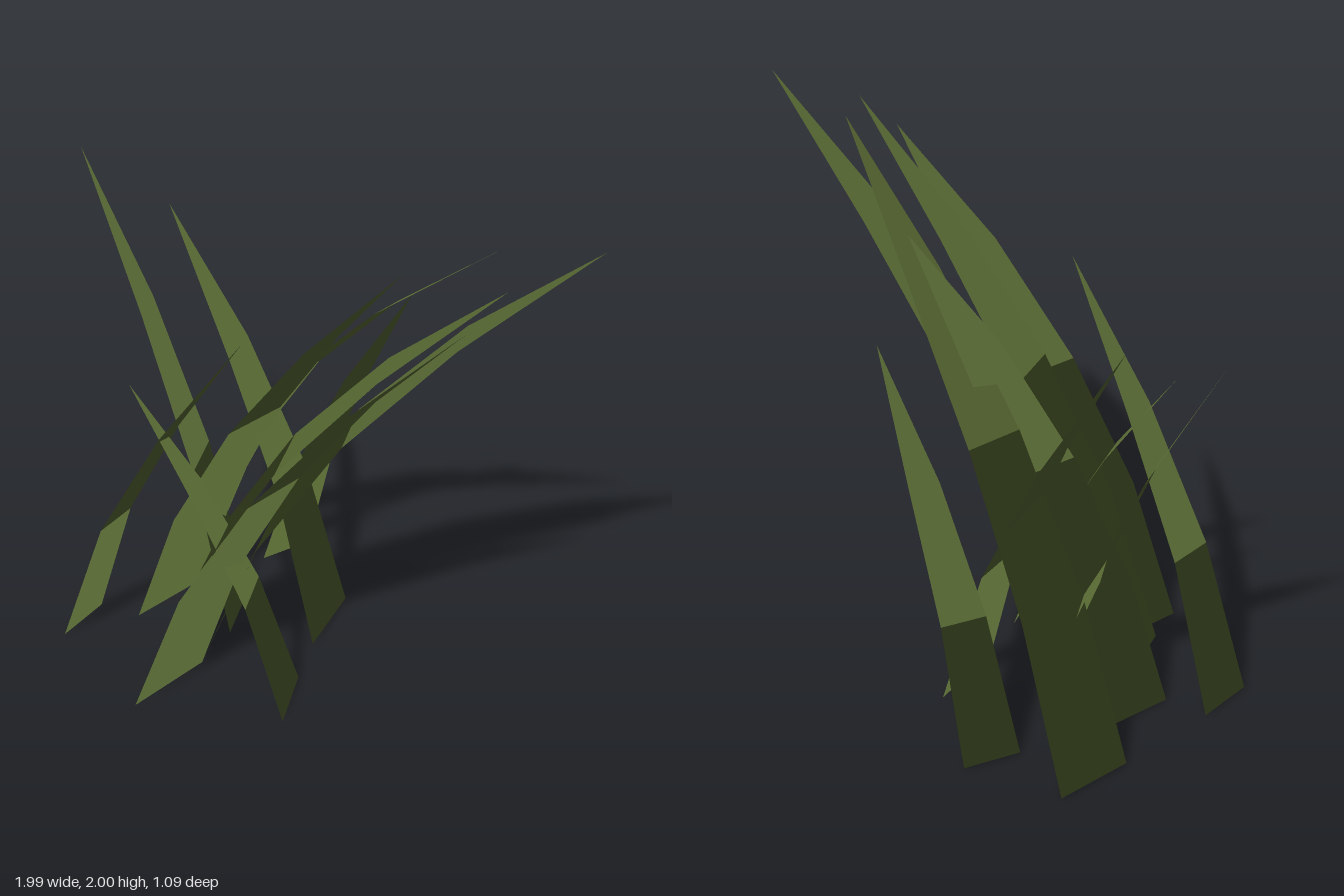
import * as THREE from 'three';

// Blade levels from root to tip: [height, lean, width] as fractions
const TALL = [[0, 0, 1], [0.3, 0.17, 0.9], [0.56, 0.4, 0.73], [0.79, 0.68, 0.48], [1, 1, 0]];
const SHORT = [[0, 0, 1], [0.37, 0.25, 0.78], [0.69, 0.59, 0.52], [1, 1, 0]];

// A tapering strip from a root edge (two x, z corners on the ground) to a tip (x, y, z)
function bladeGeometry([ax, az], [bx, bz], [tx, ty, tz], levels) {
  const cx = (ax + bx) / 2, cz = (az + bz) / 2;
  const up = new THREE.Vector3(tx - cx, ty, tz - cz).normalize();
  const position = [], normal = [], index = [];
  levels.forEach(([h, lean, width], i) => {
    for (const side of [-0.5, 0.5]) {
      position.push(
        cx + (tx - cx) * lean + (bx - ax) * width * side,
        ty * h,
        cz + (tz - cz) * lean + (bz - az) * width * side
      );
      normal.push(up.x, up.y, up.z); // foliage normals follow the blade
    }
    if (i === 0) return;
    const a = 2 * i - 2, b = a + 1, c = a + 2, d = a + 3;
    index.push(a, b, c);
    if (width > 0) index.push(b, d, c);
  });
  const geometry = new THREE.BufferGeometry();
  geometry.setAttribute('position', new THREE.Float32BufferAttribute(position, 3));
  geometry.setAttribute('normal', new THREE.Float32BufferAttribute(normal, 3));
  geometry.setIndex(index);
  return geometry;
}

export function createModel() {
  const group = new THREE.Group();
  group.name = 'grassClump';
  const material = new THREE.MeshStandardMaterial({ color: 0x586a33, side: THREE.DoubleSide });

  // root corner, root corner, tip; corners ordered so the upper side is the front
  const tallBlades = [
    [[-0.315, -0.03], [-0.125, 0.23], [0.99, 2.0, -0.47]],
    [[-0.74, -0.32], [-0.7, -0.04], [0.69, 1.92, -0.34]],
    [[-0.36, 0.15], [-0.17, 0.415], [0.86, 1.9, -0.21]],
    [[-0.13, 0.22], [-0.09, 0.545], [0.82, 1.78, -0.09]],
    [[-0.52, -0.08], [-0.49, 0.255], [0.28, 1.65, -0.32]],
  ];
  const shortBlades = [
    [[-0.2, 0.04], [-0.36, -0.17], [-1.0, 1.71, 0.07]],
    [[0.04, -0.165], [-0.09, -0.43], [-0.64, 1.6, -0.05]],
    [[-0.63, 0.33], [-0.57, 0.535], [0.12, 1.51, 0.21]],
    [[-0.45, -0.535], [-0.475, -0.33], [0.085, 1.4, -0.54]],
    [[0.3, 0.18], [0.15, -0.01], [-0.3, 1.2, 0.37]],
  ];

  const addBlades = (blades, levels, name) => blades.forEach((blade, i) => {
    const mesh = new THREE.Mesh(bladeGeometry(...blade, levels), material);
    mesh.name = `${name}${i + 1}`;
    group.add(mesh);
  });
  addBlades(tallBlades, TALL, 'tallBlade');
  addBlades(shortBlades, SHORT, 'shortBlade');
  return group;
}
